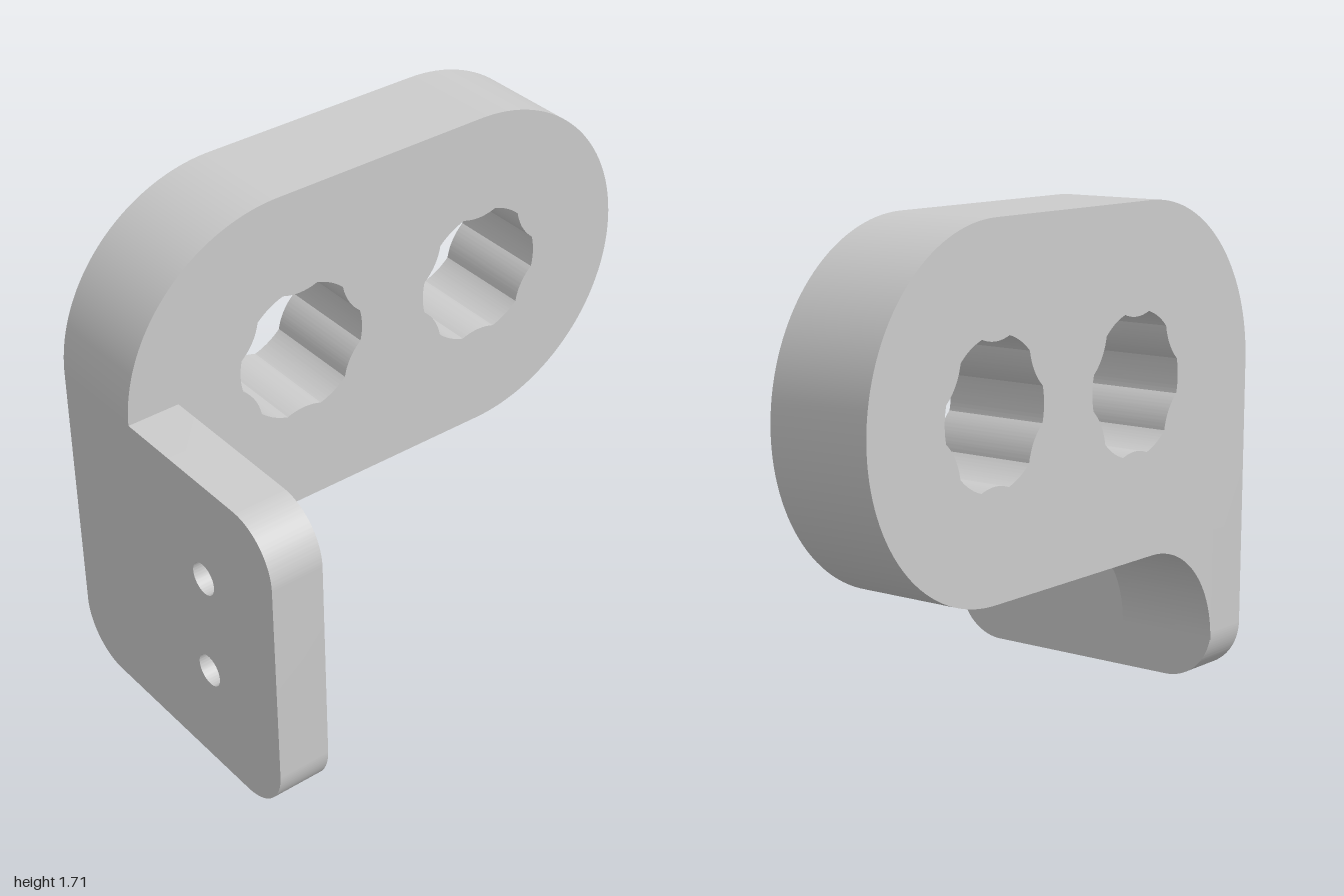
import * as THREE from 'three';
import { toCreasedNormals } from 'three/addons/utils/BufferGeometryUtils.js';

const material = new THREE.MeshStandardMaterial({ color: 0xcccccc });

function extrude(name, shape, depth) {
  const geometry = new THREE.ExtrudeGeometry(shape, { depth, bevelEnabled: false, curveSegments: 32 });
  const mesh = new THREE.Mesh(toCreasedNormals(geometry, 0.4), material);
  mesh.name = name;
  return mesh;
}

// Six-lobed hole: outer arcs joined by shallow inward bulges
function lobedHole(cx, cy) {
  const R = 0.243, half = THREE.MathUtils.degToRad(14), step = Math.PI / 3;
  const hole = new THREE.Path();
  hole.moveTo(cx + R * Math.cos(-half), cy + R * Math.sin(-half));
  for (let i = 0; i < 6; i++) {
    const a = i * step, mid = a + step / 2, next = a + step - half;
    hole.absarc(cx, cy, R, a - half, a + half, false);
    hole.quadraticCurveTo(
      cx + 0.21 * Math.cos(mid), cy + 0.21 * Math.sin(mid),
      cx + R * Math.cos(next), cy + R * Math.sin(next));
  }
  return hole;
}

function roundHole(x, y, r) {
  return new THREE.Path().absarc(x, y, r, 0, Math.PI * 2, false);
}

export function createModel() {
  const group = new THREE.Group();
  group.name = 'bracket';
  const t = 0.185, inner = -1 + t, midY = 1.113, R = 0.593;

  // Thick upright plate with round ends and a fillet down to the flange
  const plate = new THREE.Shape();
  plate.moveTo(inner, 0.153);
  plate.absarc(inner + 0.37, 0.153, 0.37, Math.PI, Math.PI / 2, true);
  plate.lineTo(1 - R, midY - R);
  plate.absarc(1 - R, midY, R, -Math.PI / 2, Math.PI / 2, false);
  plate.absarc(-1 + R, midY, R, Math.PI / 2, Math.PI, false);
  plate.lineTo(inner, midY);
  plate.closePath();
  plate.holes.push(lobedHole(-0.335, midY), lobedHole(0.407, midY));
  const plateMesh = extrude('plate', plate, 0.37);
  plateMesh.position.z = -0.555;
  group.add(plateMesh);

  // Side flange, drawn with its x axis running towards the back
  const h = 0.555, r = 0.185;
  const flange = new THREE.Shape();
  flange.moveTo(-h + r, 0);
  flange.lineTo(h - r, 0);
  flange.absarc(h - r, r, r, -Math.PI / 2, 0, false);
  flange.lineTo(h, midY);
  flange.lineTo(-h + r, midY);
  flange.absarc(-h + r, midY - r, r, Math.PI / 2, Math.PI, false);
  flange.lineTo(-h, r);
  flange.absarc(-h + r, r, r, Math.PI, Math.PI * 1.5, false);
  for (const y of [0.372, 0.743]) flange.holes.push(roundHole(-0.187, y, 0.056));
  const flangeMesh = extrude('flange', flange, t);
  flangeMesh.rotation.y = Math.PI / 2;
  flangeMesh.position.x = -1;
  group.add(flangeMesh);

  return group;
}
